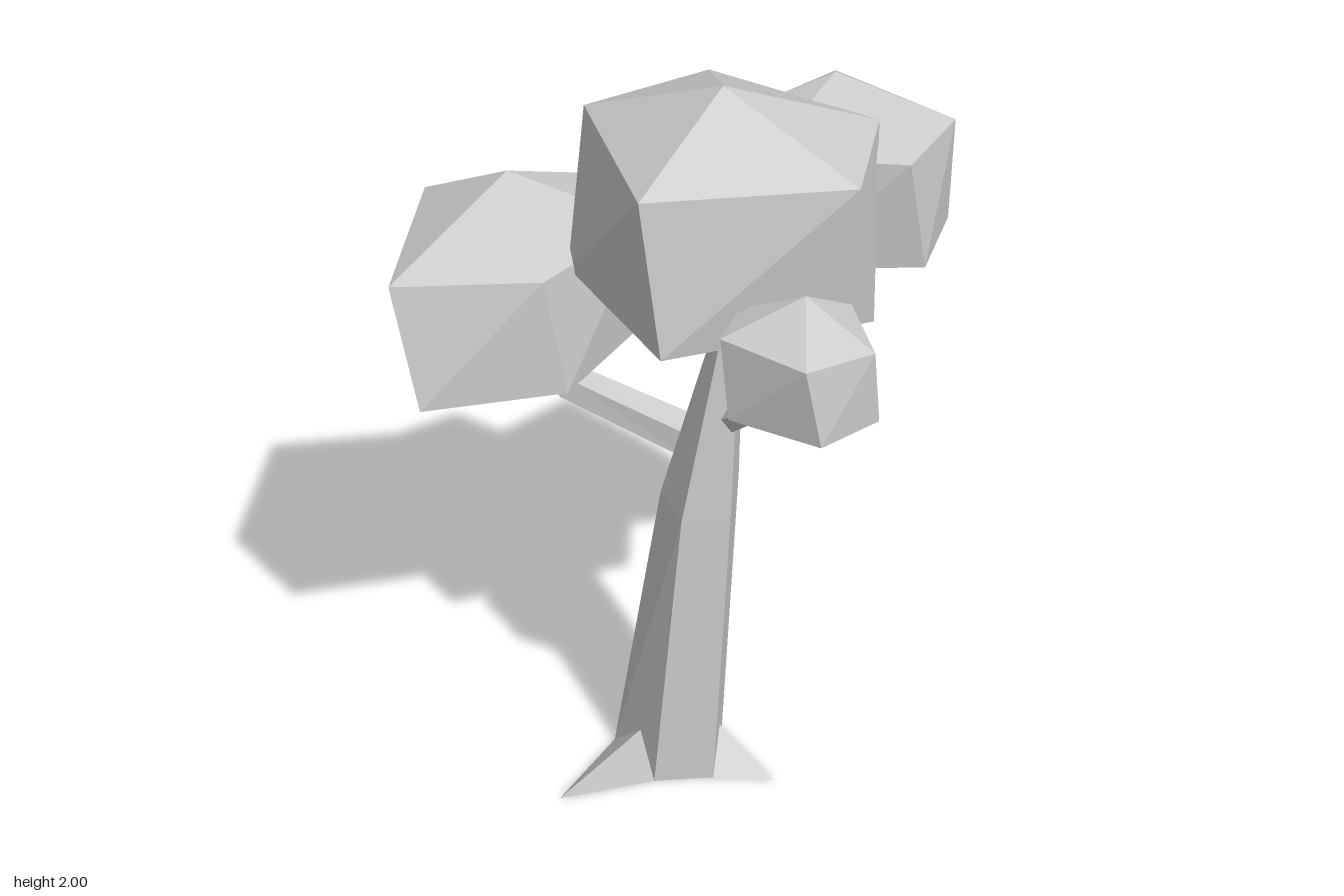
import * as THREE from 'three';

const material = new THREE.MeshStandardMaterial({ color: 0xcccccc, flatShading: true });
const V = (x, y, z) => new THREE.Vector3(x, y, z);

// Mesh from a list of corners, three per face
function facetMesh(name, corners) {
  const geometry = new THREE.BufferGeometry().setFromPoints(corners);
  geometry.computeVertexNormals();
  const mesh = new THREE.Mesh(geometry, material);
  mesh.name = name;
  return mesh;
}

// Skin over matching rings, counter-clockwise about the path, closed at both ends
function loft(name, rings) {
  const out = [];
  const n = rings[0].length;
  for (let k = 0; k + 1 < rings.length; k++) {
    const a = rings[k], b = rings[k + 1];
    for (let i = 0; i < n; i++) {
      const j = (i + 1) % n;
      out.push(a[i], a[j], b[j], a[i], b[j], b[i]);
    }
  }
  const first = rings[0], last = rings[rings.length - 1];
  for (let i = 1; i + 1 < n; i++) {
    out.push(first[0], first[i + 1], first[i], last[0], last[i], last[i + 1]);
  }
  return facetMesh(name, out);
}

const levelRing = (y, points) => points.map(([x, z]) => V(x, y, z));

// Twenty-sided leaf clump: apex, two staggered rings of five, lower apex
function clump(name, top, upperY, upper, lowerY, lower, bottom) {
  const t = V(...top), b = V(...bottom);
  const U = levelRing(upperY, upper), L = levelRing(lowerY, lower);
  const out = [];
  for (let i = 0; i < 5; i++) {
    const j = (i + 1) % 5;
    out.push(t, U[i], U[j], U[i], L[i], U[j], L[i], L[j], U[j], b, L[j], L[i]);
  }
  return facetMesh(name, out);
}

// Tapered five-sided branch along a path of [x, y, z, radius]
function branch(name, path) {
  const centres = path.map(p => V(p[0], p[1], p[2]));
  const rings = path.map((p, k) => {
    const d = centres[Math.min(k + 1, path.length - 1)].clone()
      .sub(centres[Math.max(k - 1, 0)]).normalize();
    const u = d.clone().cross(V(0.3, 0.2, 1)).normalize();
    const v = d.clone().cross(u);
    return Array.from({ length: 5 }, (_, i) => {
      const a = (i / 5) * Math.PI * 2;
      return centres[k].clone()
        .addScaledVector(u, p[3] * Math.cos(a))
        .addScaledVector(v, p[3] * Math.sin(a));
    });
  });
  return loft(name, rings);
}

// Pointed root: corners a, b on the ground (a to b counter-clockwise), outer tip and peak
function root(name, a, b, tip, peak) {
  const [A, B, T, P] = [a, b, tip, peak].map(p => V(...p));
  return facetMesh(name, [A, T, P, T, B, P, B, A, P, A, B, T]);
}

export function createModel() {
  const tree = new THREE.Group();
  tree.name = 'tree';

  // Leaning trunk with a bend
  tree.add(loft('trunk', [
    levelRing(0, [[-0.13, 0], [0, 0.165], [0.155, 0.13], [0.155, -0.08], [0, -0.08]]),
    levelRing(0.84, [[0.0, 0.03], [0.07, 0.165], [0.19, 0.11], [0.19, -0.08], [0.05, -0.08]]),
    levelRing(1.42, [[0.155, 0.05], [0.17, 0.13], [0.205, 0.11], [0.205, -0.01], [0.17, -0.01]]),
  ]));

  // Roots
  tree.add(root('frontRoot', [-0.13, 0, 0], [0, 0, 0.165], [-0.24, 0, 0.27], [-0.04, 0.15, 0.14]));
  tree.add(root('leftRoot', [0.155, 0, 0.13], [0.155, 0, -0.08], [0.315, 0, 0.12], [0.155, 0.09, 0.01]));

  // Branches
  tree.add(branch('rightBranch', [[0.11, 0.97, -0.01, 0.06], [-0.25, 1.065, -0.11, 0.05], [-0.4, 1.17, -0.17, 0.03]]));
  tree.add(branch('frontBranch', [[0.18, 1.11, 0.08, 0.04], [0.29, 1.26, 0.25, 0.03], [0.34, 1.38, 0.32, 0.02]]));
  tree.add(branch('backBranch', [[0.18, 1.13, 0.02, 0.05], [0.27, 1.38, -0.2, 0.035], [0.33, 1.5, -0.28, 0.025]]));

  // Leaf clumps
  tree.add(clump('topFoliage', [0.15, 2, 0.045],
    1.84, [[0.07, -0.38], [-0.21, -0.14], [-0.01, 0.355], [0.49, 0.22], [0.51, -0.15]],
    1.44, [[0, -0.36], [-0.24, -0.04], [0.045, 0.38], [0.53, 0.13], [0.5, -0.22]],
    [0.21, 1.34, 0.08]));
  tree.add(clump('rightFoliage', [-0.42, 1.61, -0.215],
    1.47, [[-0.245, -0.5], [-0.665, -0.365], [-0.65, 0.165], [-0.28, 0.095], [-0.08, -0.25]],
    1.14, [[-0.3, -0.53], [-0.69, -0.32], [-0.58, 0.2], [-0.23, 0.065], [-0.08, -0.32]],
    [-0.495, 1.05, -0.15]));
  tree.add(clump('backFoliage', [0.39, 1.89, -0.3],
    1.77, [[0.375, -0.565], [0.12, -0.25], [0.24, -0.05], [0.595, -0.055], [0.69, -0.32]],
    1.47, [[0.325, -0.56], [0.13, -0.19], [0.3, -0.045], [0.64, -0.1], [0.685, -0.37]],
    [0.4, 1.385, -0.33]));
  tree.add(clump('frontFoliage', [0.38, 1.62, 0.345],
    1.54, [[0.48, 0.23], [0.22, 0.28], [0.19, 0.43], [0.4, 0.56], [0.55, 0.45]],
    1.34, [[0.45, 0.22], [0.2, 0.3], [0.215, 0.46], [0.44, 0.555], [0.565, 0.42]],
    [0.36, 1.295, 0.32]));

  return tree;
}
